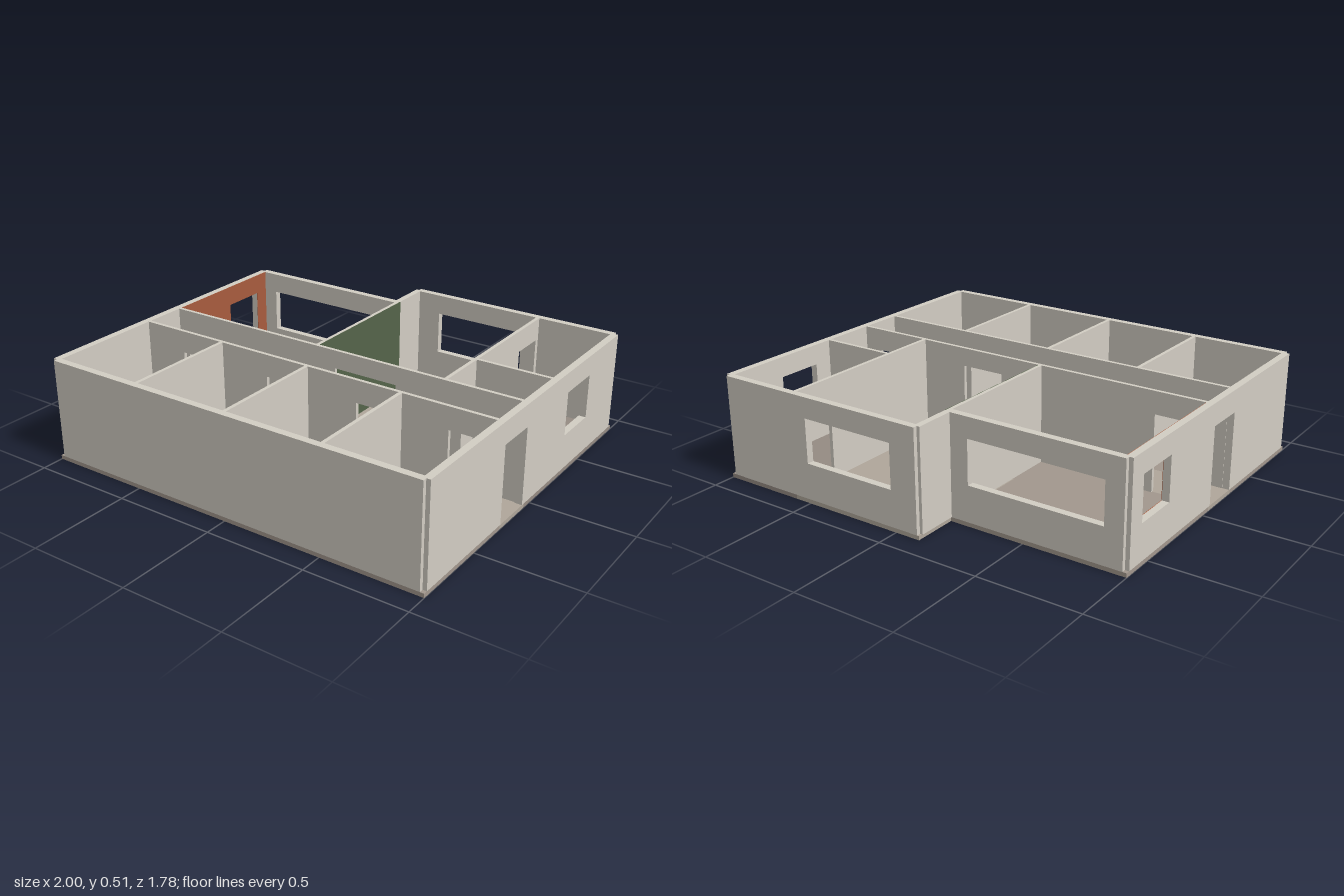
import * as THREE from 'three';

const FLOOR = 0.02, TOP = 0.51, DOOR = 0.4;
const SILL = 0.195, HEAD = 0.41;
const OUT = 0.035, IN = 0.018; // outer and inner wall thickness

const mat = (color) => new THREE.MeshStandardMaterial({ color });

export function createModel() {
  const model = new THREE.Group();
  const wallMat = mat(0xd2cdc3), orangeMat = mat(0xa85c3e), greenMat = mat(0x55644a);
  const roomMat = mat(0xa2978d), hallMat = mat(0xafa69a), wetMat = mat(0x958b83);

  // Upright wall running along 'x' or 'z' from a to b, centred at c on the other axis.
  // doors: [from, to, top?] cut from the floor; windows: [from, to]
  function wall(name, axis, a, b, c, t, { doors = [], windows = [], material = wallMat } = {}) {
    const s = new THREE.Shape();
    s.moveTo(a, FLOOR);
    for (const [d0, d1, top = DOOR] of doors) {
      s.lineTo(d0, FLOOR);
      s.lineTo(d0, top);
      s.lineTo(d1, top);
      s.lineTo(d1, FLOOR);
    }
    s.lineTo(b, FLOOR);
    s.lineTo(b, TOP);
    s.lineTo(a, TOP);
    s.closePath();
    for (const [w0, w1] of windows) {
      const h = new THREE.Path();
      h.moveTo(w0, SILL);
      h.lineTo(w0, HEAD);
      h.lineTo(w1, HEAD);
      h.lineTo(w1, SILL);
      h.closePath();
      s.holes.push(h);
    }
    const geo = new THREE.ExtrudeGeometry(s, { depth: t, bevelEnabled: false });
    geo.translate(0, 0, -t / 2);
    const mesh = new THREE.Mesh(geo, material);
    mesh.name = name;
    if (axis === 'x') mesh.position.z = c;
    else {
      mesh.rotation.y = -Math.PI / 2;
      mesh.position.x = c;
    }
    model.add(mesh);
  }

  // Floor slab between two plan corners
  function floor(name, x0, x1, z0, z1, material) {
    const mesh = new THREE.Mesh(new THREE.BoxGeometry(x1 - x0, FLOOR, z1 - z0), material);
    mesh.name = name;
    mesh.position.set((x0 + x1) / 2, FLOOR / 2, (z0 + z1) / 2);
    model.add(mesh);
  }

  floor('livingRoomFloor', -1, -0.11, -0.67, 0.055, roomMat);
  floor('middleRoomFloor', -0.125, 0.583, -0.89, 0.055, hallMat);
  floor('utilityFloor', 0.583, 1, -0.89, -0.225, wetMat);
  floor('bathroomFloor', 0.583, 1, -0.225, 0.055, wetMat);
  floor('corridorFloor', -1, 1, 0.055, 0.277, hallMat);
  floor('bedroomFloor', -1, 1, 0.277, 0.89, roomMat);

  // Outer walls, stopping short of each other to leave a small recess at the corners
  const h = OUT / 2;
  const exit = [[0.07, 0.27]], sideWindow = [[-0.56, -0.33]];
  wall('frontWall', 'x', -0.98, 0.98, 0.89 - h, OUT);
  wall('leftSideWall', 'z', -0.87, 0.87, 1 - h, OUT, { doors: exit, windows: sideWindow });
  wall('rightSideWall', 'z', -0.65, 0.87, -1 + h, OUT, { doors: exit, windows: sideWindow });
  wall('middleBackWall', 'x', -0.115, 0.98, -0.89 + h, OUT, { windows: [[0.02, 0.5]] });
  wall('livingBackWall', 'x', -0.98, -0.11, -0.67 + h, OUT, { windows: [[-0.89, -0.22]] });
  wall('stepWall', 'z', -0.87, -0.66, -0.115, 0.03);

  // Corridor walls with room doors
  wall('corridorBackWall', 'x', -0.966, 0.966, 0.055, IN, {
    doors: [[-0.91, -0.72], [0, 0.335, 0.42], [0.68, 0.87]],
  });
  wall('corridorFrontWall', 'x', -0.966, 0.966, 0.277, IN, {
    doors: [-0.74, -0.23, 0.27, 0.74].map((x) => [x, x + 0.19]),
  });

  // Partitions between rooms
  for (const x of [-0.5, -0.002, 0.498]) wall('bedroomPartition', 'z', 0.286, 0.856, x, IN);
  wall('livingPartition', 'z', -0.66, 0.046, -0.11, IN);
  wall('utilityPartition', 'z', -0.856, 0.046, 0.583, IN, { doors: [[-0.83, -0.65]] });
  wall('bathroomPartition', 'x', 0.592, 0.966, -0.225, IN);

  // Painted wall faces
  wall('orangeWallFace', 'z', -0.635, 0.046, -0.9645, 0.003, { windows: sideWindow, material: orangeMat });
  wall('greenWallFace', 'z', -0.66, 0.046, -0.1, 0.003, { material: greenMat });

  return model;
}
